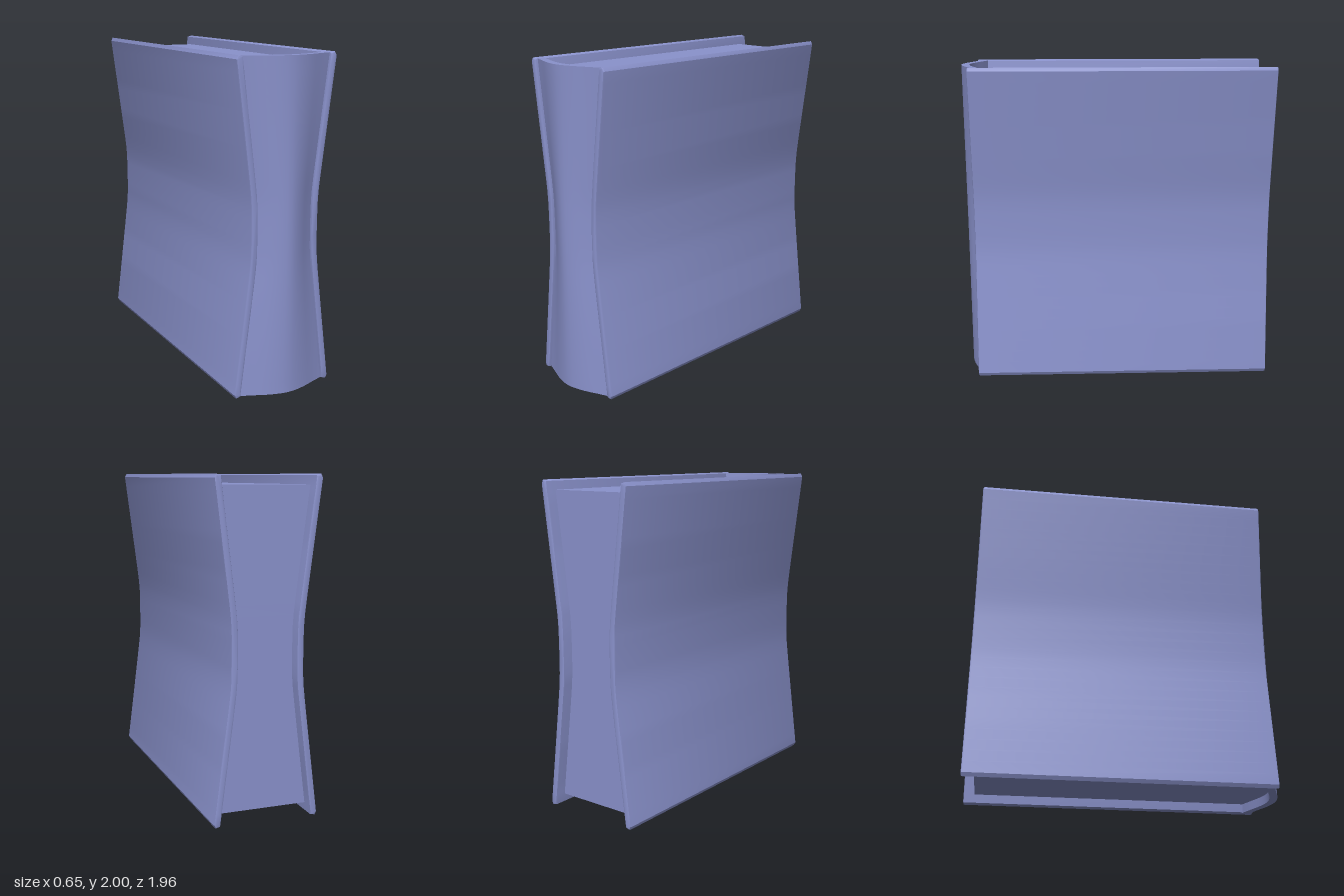
import * as THREE from 'three';
import { toCreasedNormals } from 'three/addons/utils/BufferGeometryUtils.js';

const HEIGHT = 2;
const COVER = 0.042; // cover thickness

// Half thickness of the pinched book at height y: narrow waist, flared ends
function halfWidth(y) {
  const d = Math.abs(y - 1) - 0.17;
  return 0.222 + 0.127 * (d + Math.sqrt(d * d + 0.003)) / 2;
}

// Rounded front line, x from -1 to 1, bulging from z = edge to z = edge + 0.09
function frontCurve(edge, n = 16) {
  const half = [[0, 0.09], [0.37, 0.07], [0.74, 0.028], [1, 0]];
  const pts = [...half.slice(1).reverse().map(([x, z]) => [-x, z]), ...half];
  const curve = new THREE.SplineCurve(pts.map(([x, z]) => new THREE.Vector2(x, -(edge + z))));
  return curve.getPoints(n);
}

// Extrude an outline upwards from y0 to y1, then pinch it to the book's waist
function pinched(outline, y0, y1, inset) {
  const geo = new THREE.ExtrudeGeometry(new THREE.Shape(outline), {
    depth: y1 - y0, steps: 28, bevelEnabled: false,
  });
  geo.rotateX(-Math.PI / 2).translate(0, y0, 0);
  const p = geo.attributes.position;
  for (let i = 0; i < p.count; i++) {
    p.setX(i, p.getX(i) * (halfWidth(p.getY(i)) - inset));
  }
  return toCreasedNormals(geo, 0.5);
}

// Curved board with softened edges; side is +1 (left) or -1 (right)
function coverGeometry(side) {
  const n = 28, bevel = 0.01, z0 = -0.98, z1 = 0.91;
  const outer = [], inner = [];
  for (let i = 0; i <= n; i++) {
    const y = 0.022 + (HEIGHT - 0.044) * i / n;
    outer.push(new THREE.Vector2(side * halfWidth(y), y));
    const yi = 0.008 + (HEIGHT - 0.016) * i / n;
    inner.push(new THREE.Vector2(side * (halfWidth(yi) - COVER), yi));
  }
  const tip = halfWidth(HEIGHT) - 0.014;
  const outline = [
    new THREE.Vector2(side * tip, 0), ...outer,
    new THREE.Vector2(side * tip, HEIGHT), ...inner.reverse(),
  ];
  const geo = new THREE.ExtrudeGeometry(new THREE.Shape(outline), {
    depth: z1 - z0 - 2 * bevel, bevelEnabled: true,
    bevelSize: bevel, bevelThickness: bevel, bevelOffset: -bevel, bevelSegments: 2,
  });
  geo.translate(0, 0, z0 + bevel);
  return toCreasedNormals(geo, 0.5);
}

export function createModel() {
  const book = new THREE.Group();
  book.name = 'book';
  const material = new THREE.MeshStandardMaterial({ color: 0x8a92cc });
  const add = (name, geometry) => {
    const mesh = new THREE.Mesh(geometry, material);
    mesh.name = name;
    book.add(mesh);
  };

  // Boards on both sides
  add('leftCover', coverGeometry(1));
  add('rightCover', coverGeometry(-1));

  // Rounded spine joining the boards
  const spine = [...frontCurve(0.887), ...frontCurve(0.837).reverse()];
  add('spine', pinched(spine, 0.005, HEIGHT - 0.005, 0.03));

  // Page block, recessed at the top, bottom and back
  const pages = [
    new THREE.Vector2(-1, 0.91), ...frontCurve(0.84), new THREE.Vector2(1, 0.91),
  ];
  add('pages', pinched(pages, 0.06, HEIGHT - 0.06, COVER - 0.002));

  return book;
}
